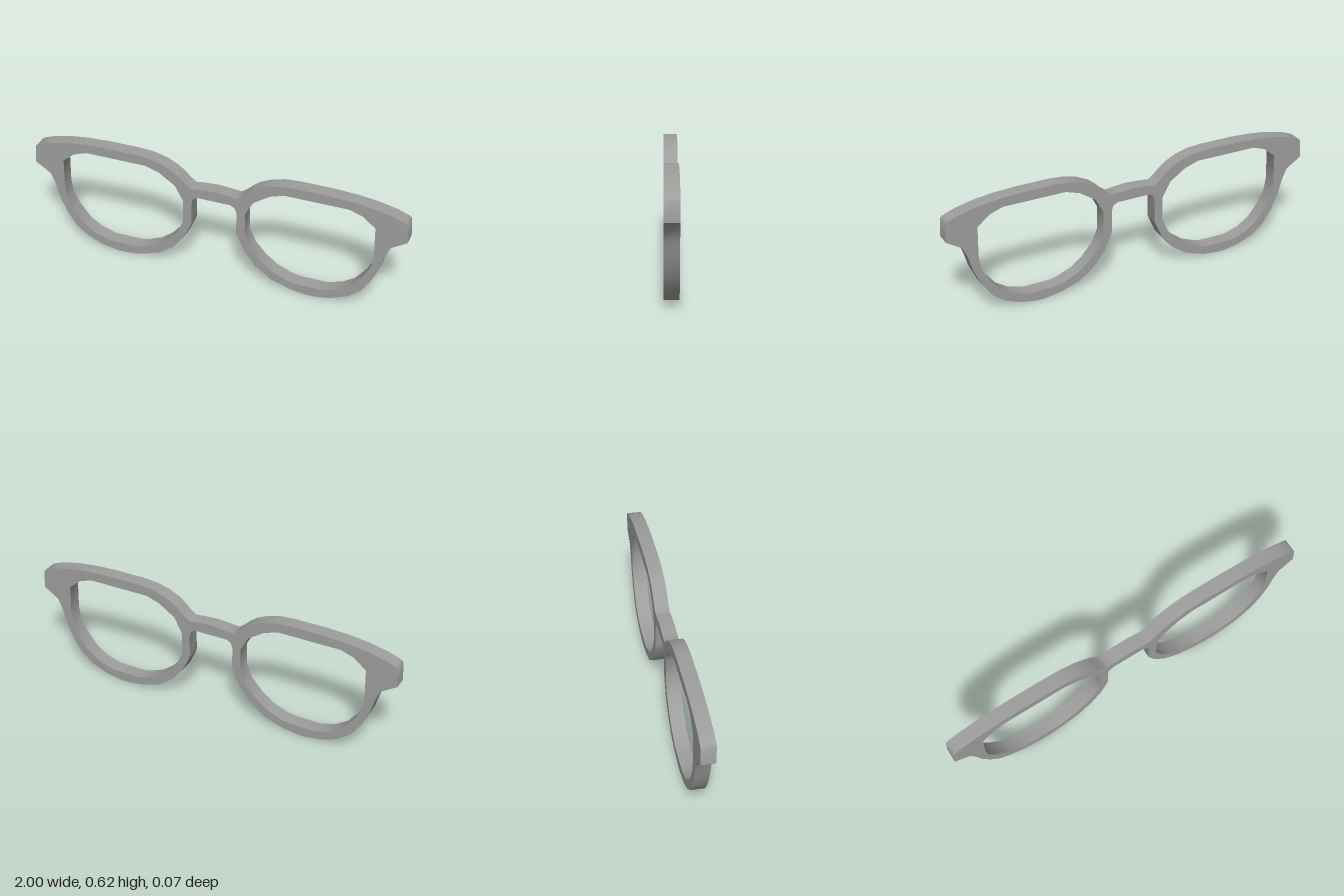
import * as THREE from 'three';
import { toCreasedNormals } from 'three/addons/utils/BufferGeometryUtils.js';

const DEPTH = 0.074;

// Outer edge of the left half, from the bridge underside round to the bridge top
const outerHalf = [
  [0, 0.446], [0.09, 0.446], [0.113, 0.432], [0.122, 0.405], [0.122, 0.285],
  [0.13, 0.262], [0.166, 0.184], [0.227, 0.107], [0.313, 0.045], [0.42, 0.011], [0.505, 0],
  [0.55, 0.001], [0.635, 0.016], [0.718, 0.05], [0.784, 0.102], [0.83, 0.17], [0.87, 0.257],
  [0.895, 0.345], [0.92, 0.402], [1, 0.453], [0.994, 0.55], [0.984, 0.561], [0.92, 0.585],
  [0.82, 0.607], [0.72, 0.619], [0.6, 0.625], [0.43, 0.625], [0.35, 0.619], [0.28, 0.601],
  [0.22, 0.572], [0.185, 0.545], [0.15, 0.512], [0.122, 0.492], [0.07, 0.498], [0, 0.503],
];

// Lens opening of the left half
const opening = [
  [0.837, 0.495], [0.773, 0.548], [0.703, 0.572], [0.372, 0.572], [0.297, 0.548],
  [0.211, 0.49], [0.168, 0.41], [0.168, 0.285], [0.2, 0.21], [0.26, 0.142], [0.323, 0.094],
  [0.404, 0.061], [0.447, 0.053], [0.59, 0.053], [0.67, 0.078], [0.735, 0.12],
  [0.794, 0.195], [0.83, 0.265], [0.84, 0.334],
];

const points = (list, side = 1) => list.map(([x, y]) => new THREE.Vector2(side * x, y));

export function createModel() {
  const group = new THREE.Group();
  group.name = 'eyeglassFront';

  // Whole rim outline, counter-clockwise: left half plus its mirror image
  const mirrored = points(outerHalf.slice(1, -1), -1).reverse();
  const shape = new THREE.Shape([...points(outerHalf), ...mirrored]);

  // Both lens openings run clockwise so their walls face into the hole
  shape.holes.push(new THREE.Path(points(opening).reverse()));
  shape.holes.push(new THREE.Path(points(opening, -1)));

  const plate = new THREE.ExtrudeGeometry(shape, { depth: DEPTH, bevelEnabled: false });
  plate.translate(0, 0, -DEPTH / 2);

  // Smooth round the rims, sharp at the front and back edges
  const frame = new THREE.Mesh(
    toCreasedNormals(plate, 1),
    new THREE.MeshStandardMaterial({ color: 0x9d9d9d }),
  );
  frame.name = 'frameFront';
  group.add(frame);
  return group;
}
